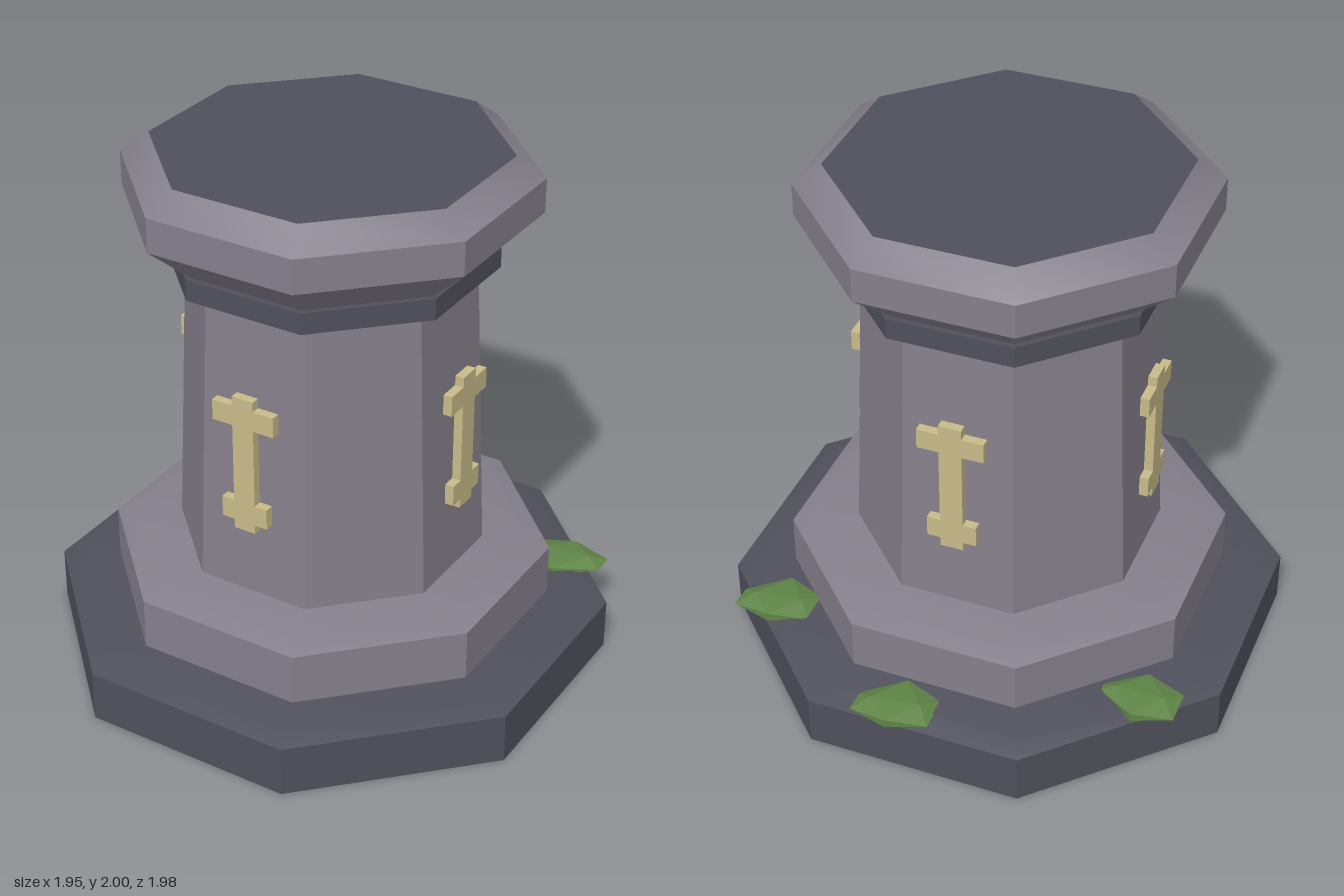
import * as THREE from 'three';
import { toCreasedNormals } from 'three/addons/utils/BufferGeometryUtils.js';

const mat = (name, color) => {
  const m = new THREE.MeshStandardMaterial({ color });
  m.name = name;
  return m;
};

export function createModel() {
  const root = new THREE.Group();
  root.name = 'pedestal';
  const stone = mat('light stone', 0x857f8b);
  const darkStone = mat('dark stone', 0x50505c);
  const gold = mat('pale gold', 0xc8bb89);
  const moss = mat('moss green', 0x5f8547);
  const body = new THREE.Group();
  body.name = 'body';
  body.position.z = 0.012;
  root.add(body);

  // Octagonal solid from [distance to flat side, height] pairs, bottom to top
  const octagon = (name, profile, material) => {
    const pts = profile.map(([a, y]) => new THREE.Vector2(a / Math.cos(Math.PI / 8), y));
    const geo = toCreasedNormals(new THREE.LatheGeometry(pts, 8, Math.PI / 8), THREE.MathUtils.degToRad(35));
    const mesh = new THREE.Mesh(geo, material);
    mesh.name = name;
    body.add(mesh);
  };

  octagon('base', [[0, 0], [0.975, 0], [0.975, 0.195], [0.895, 0.225], [0, 0.225]], darkStone);
  octagon('step', [[0, 0.22], [0.765, 0.22], [0.765, 0.42], [0.685, 0.448], [0, 0.448]], stone);
  octagon('column', [[0.532, 0.44], [0.485, 1.58]], stone);
  octagon('collar', [[0, 1.575], [0.557, 1.575], [0.557, 1.655], [0, 1.655]], darkStone);
  octagon('cap', [[0, 1.654], [0.535, 1.654], [0.69, 1.797], [0.69, 1.924], [0.593, 2]], stone);
  octagon('capTop', [[0.593, 2], [0, 2]], darkStone);

  // Emblem outline: a stem with a wide upper and a narrow lower crossbar
  const half = [
    [0.043, 0.73], [0.043, 0.765], [0.093, 0.765], [0.093, 0.845], [0.043, 0.845],
    [0.043, 1.15], [0.125, 1.15], [0.125, 1.228], [0.043, 1.228], [0.043, 1.265],
  ];
  const outline = [...half, ...half.map(([x, y]) => [-x, y]).reverse()];
  const emblemGeo = new THREE.ExtrudeGeometry(
    new THREE.Shape(outline.map(([x, y]) => new THREE.Vector2(x, y))),
    { depth: 0.034, bevelEnabled: false },
  );
  emblemGeo.translate(0, 0, 0.538);
  ['front', 'left', 'back', 'right'].forEach((side, i) => {
    const emblem = new THREE.Mesh(emblemGeo, gold);
    emblem.name = side + 'Emblem';
    emblem.rotation.y = (i * Math.PI) / 2;
    body.add(emblem);
  });

  // Flattened moss clumps whose +x end is tapered and skewed
  const clump = (name, x, z, taper, skew) => {
    let geo = new THREE.IcosahedronGeometry(1, 0);
    geo.scale(0.147 / 0.851, 0.028 / 0.851, 0.108 / 0.851);
    const p = geo.attributes.position;
    for (let i = 0; i < p.count; i++) {
      const t = Math.max(0, p.getX(i) / 0.147);
      p.setZ(i, p.getZ(i) * (1 - taper * t) - skew * t);
    }
    geo.computeVertexNormals();
    const mesh = new THREE.Mesh(geo, moss);
    mesh.name = name;
    mesh.position.set(x, 0.222, z);
    root.add(mesh);
  };
  clump('backMoss', 0.09, -0.884, 0.35, 0.04);
  clump('leftMoss', 0.722, -0.535, 0.35, 0.04);
  clump('rightMoss', -0.715, -0.538, 0.75, 0);

  return root;
}
